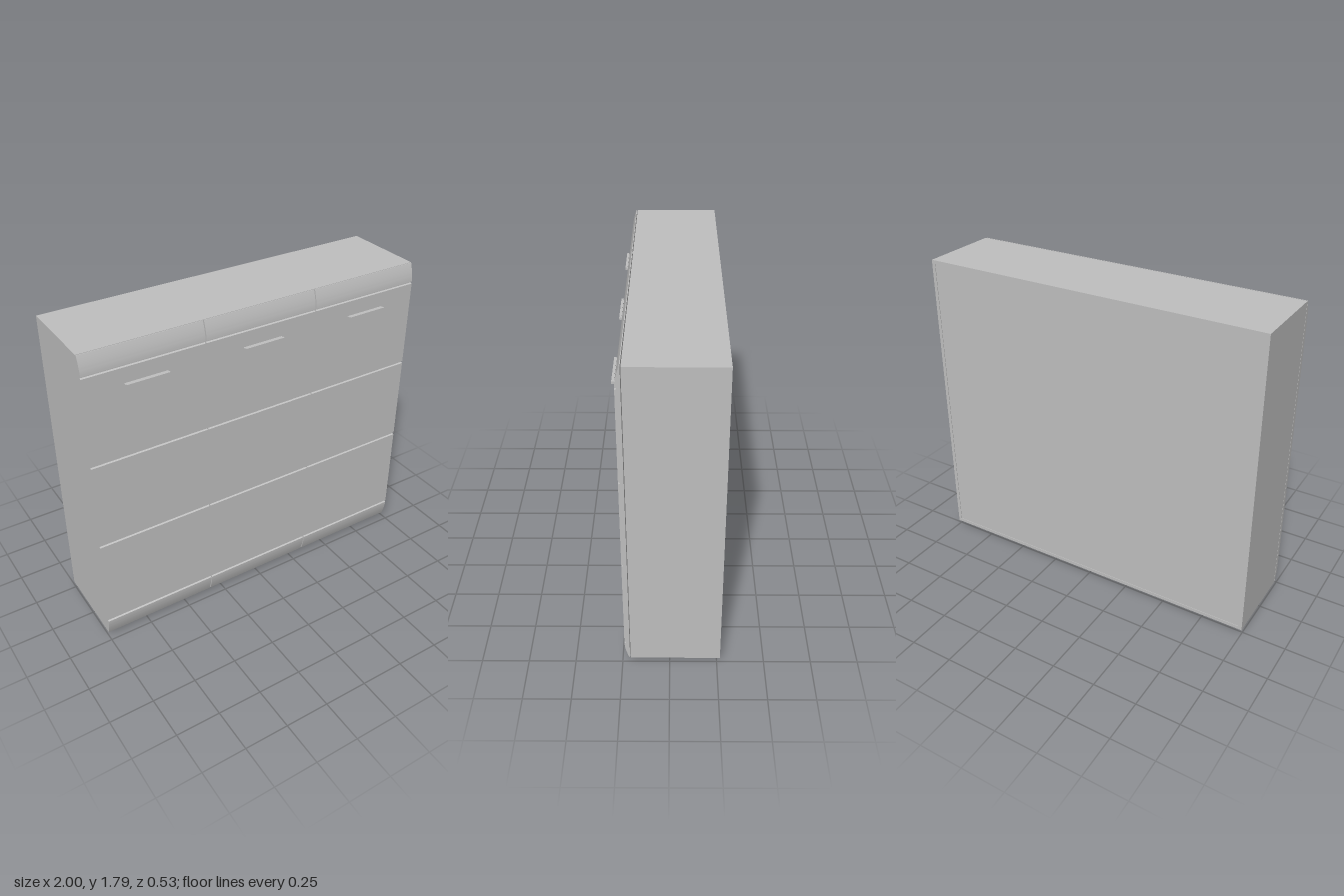
import * as THREE from 'three';
import { toCreasedNormals } from 'three/addons/utils/BufferGeometryUtils.js';

const BACK = -0.267, FRONT = 0.207;      // carcass depth
const BOTTOM = 0.028, TOP = 1.792;       // carcass height
const DOOR_BACK = 0.211, DOOR_FRONT = 0.238;
const DOOR_WIDTH = 0.661;

export function createModel() {
  const grey = new THREE.MeshStandardMaterial({ color: 0xbfbfbf });
  grey.name = 'grey';
  const model = new THREE.Group();
  model.name = 'shoeCabinet';

  function add(name, geometry, parent = model) {
    const mesh = new THREE.Mesh(geometry, grey);
    mesh.name = name;
    parent.add(mesh);
    return mesh;
  }

  // Box given by its extents
  function box(name, x0, x1, y0, y1, z0, z1, parent) {
    const mesh = add(name, new THREE.BoxGeometry(x1 - x0, y1 - y0, z1 - z0), parent);
    mesh.position.set((x0 + x1) / 2, (y0 + y1) / 2, (z0 + z1) / 2);
    return mesh;
  }

  // Carcass panels
  box('topPanel', -1, 1, TOP - 0.02, TOP, BACK, FRONT);
  box('bottomPanel', -1, 1, BOTTOM, BOTTOM + 0.02, BACK, FRONT);
  box('rightSide', -1, -0.98, BOTTOM + 0.02, TOP - 0.02, BACK, FRONT);
  box('leftSide', 0.98, 1, BOTTOM + 0.02, TOP - 0.02, BACK, FRONT);
  box('backPanel', -0.98, 0.98, BOTTOM + 0.02, TOP - 0.02, BACK + 0.003, BACK + 0.015);
  box('innerFront', -0.98, 0.98, BOTTOM + 0.02, TOP - 0.02, FRONT - 0.02, FRONT - 0.002);

  // Door side profile: curved ends and four notched grooves
  const profile = new THREE.Shape();
  profile.moveTo(DOOR_BACK, BOTTOM);
  profile.lineTo(DOOR_BACK + 0.004, BOTTOM);
  profile.quadraticCurveTo(DOOR_FRONT - 0.002, 0.085, DOOR_FRONT, 0.131);
  for (const y of [0.138, 0.673, 1.179, 1.684]) {
    profile.lineTo(DOOR_FRONT, y - 0.007);
    profile.lineTo(DOOR_FRONT - 0.009, y - 0.003);
    profile.lineTo(DOOR_FRONT - 0.009, y + 0.003);
    profile.lineTo(DOOR_FRONT, y + 0.007);
  }
  profile.quadraticCurveTo(DOOR_FRONT - 0.002, 1.735, DOOR_BACK + 0.004, TOP);
  profile.lineTo(DOOR_BACK, TOP);
  profile.closePath();
  const extruded = new THREE.ExtrudeGeometry(profile, {
    depth: DOOR_WIDTH, bevelEnabled: false, curveSegments: 12,
  });
  extruded.rotateY(-Math.PI / 2).translate(DOOR_WIDTH / 2, 0, 0);
  const doorGeometry = toCreasedNormals(extruded, 0.4);

  // Three doors, each with a lipped pull handle
  ['rightDoor', 'middleDoor', 'leftDoor'].forEach((name, i) => {
    const door = new THREE.Group();
    door.name = name;
    door.position.x = -0.6695 + i * 0.667;
    model.add(door);
    add('doorPanel', doorGeometry, door);
    box('handlePlate', -0.117, 0.117, 1.586, 1.593, DOOR_FRONT - 0.002, 0.258, door);
    box('handleLip', -0.117, 0.117, 1.582, 1.597, 0.255, 0.267, door);
  });

  // Small rounded feet
  const footProfile = [[0, 0], [0.022, 0], [0.027, 0.004], [0.03, 0.012], [0.03, BOTTOM]]
    .map(([r, y]) => new THREE.Vector2(r, y));
  const footGeometry = new THREE.LatheGeometry(footProfile, 24);
  for (const x of [-0.913, 0.913]) {
    for (const z of [-0.21, 0.146]) {
      add('foot', footGeometry).position.set(x, 0, z);
    }
  }

  return model;
}
